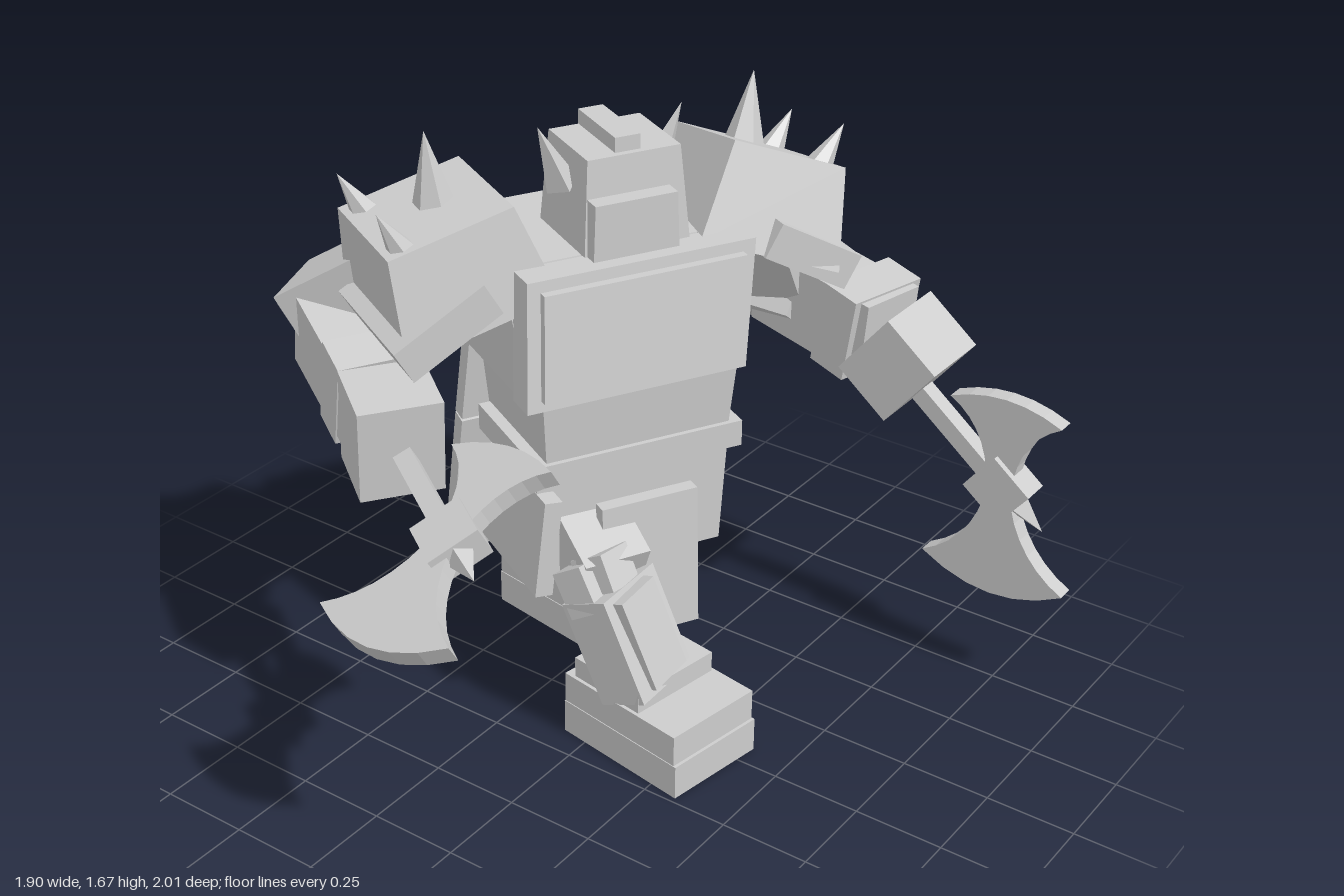
import * as THREE from 'three';

const V = (x, y, z) => new THREE.Vector3(x, y, z);

export function createModel() {
  const root = new THREE.Group();
  const grey = new THREE.MeshStandardMaterial({ color: 0xcccccc });
  grey.name = 'stone grey';
  grey.flatShading = true;

  function add(parent, name, geometry, x = 0, y = 0, z = 0) {
    const m = new THREE.Mesh(geometry, grey);
    m.name = name;
    m.position.set(x, y, z);
    parent.add(m);
    return m;
  }

  // Box whose top (y > 0) is scaled and shifted
  function taper(w, h, d, sx = 1, sz = 1, shiftZ = 0, shiftX = 0) {
    const g = new THREE.BoxGeometry(w, h, d);
    const p = g.attributes.position;
    for (let i = 0; i < p.count; i++) {
      if (p.getY(i) > 0) p.setXYZ(i, p.getX(i) * sx + shiftX, p.getY(i), p.getZ(i) * sz + shiftZ);
    }
    g.computeVertexNormals();
    return g;
  }

  // Box running from point a to point b
  function limb(name, a, b, w, h, up = V(0, 1, 0)) {
    const dir = b.clone().sub(a);
    const len = dir.length();
    dir.normalize();
    const x = up.clone().cross(dir).normalize();
    const y = dir.clone().cross(x);
    const m = add(root, name, new THREE.BoxGeometry(w, h, len));
    m.quaternion.setFromRotationMatrix(new THREE.Matrix4().makeBasis(x, y, dir));
    m.position.copy(a).add(b).multiplyScalar(0.5);
  }

  // Cone from base point to tip
  function spike(parent, name, base, tip, r, sides = 6) {
    const dir = tip.clone().sub(base);
    const m = add(parent, name, new THREE.ConeGeometry(r, dir.length(), sides));
    m.position.copy(base).add(tip).multiplyScalar(0.5);
    m.quaternion.setFromUnitVectors(V(0, 1, 0), dir.normalize());
  }

  // Body, turned toward the side
  const body = new THREE.Group();
  body.name = 'body';
  body.position.set(-0.17, 0, -0.17);
  body.rotation.y = 1.075;
  root.add(body);

  add(body, 'pelvis', taper(0.5, 0.3, 0.34, 1.08, 1), 0, 0.6, 0);
  add(body, 'belt', new THREE.BoxGeometry(0.6, 0.075, 0.39), 0, 0.778, 0);
  add(body, 'abdomen', taper(0.53, 0.22, 0.38, 1.06, 1.1), 0, 0.91, -0.01);
  add(body, 'chest', taper(0.62, 0.35, 0.56, 1.06, 0.74, 0), -0.01, 1.175, -0.1);
  add(body, 'chestPlate', taper(0.62, 0.34, 0.09, 1.03, 1, -0.045, 0.035), -0.035, 1.18, 0.205);
  add(body, 'chestPlateRaised', taper(0.55, 0.28, 0.03, 1.03, 1, -0.037, 0.028), -0.03, 1.18, 0.255);

  // Hip armour
  add(body, 'loinCloth', taper(0.28, 0.41, 0.04, 1, 1, -0.02), 0.01, 0.46, 0.23);
  add(body, 'loinClothBack', taper(0.26, 0.3, 0.04, 1, 1, 0.02), 0, 0.57, -0.21);
  const hip = add(body, 'rightHipPlate', new THREE.BoxGeometry(0.05, 0.28, 0.36), -0.285, 0.585, 0.05);
  hip.rotation.z = -0.12;

  // Two-piece cape
  const cape = add(body, 'capeUpper', taper(0.53, 0.66, 0.05, 0.84, 1), 0, 0.98, -0.395);
  cape.rotation.x = 0.13;
  const capeLow = add(body, 'capeLower', taper(0.55, 0.49, 0.05, 0.95, 1), 0, 0.4, -0.495);
  capeLow.rotation.x = 0.19;

  // Head
  const headGroup = new THREE.Group();
  headGroup.name = 'head';
  body.add(headGroup);
  add(headGroup, 'helmet', taper(0.3, 0.28, 0.28, 0.86, 0.84), 0.02, 1.46, -0.01);
  add(headGroup, 'faceGuard', taper(0.24, 0.16, 0.05, 0.95, 1), 0, 1.42, 0.14);
  add(headGroup, 'crest', new THREE.BoxGeometry(0.07, 0.05, 0.22), 0.01, 1.615, -0.02);
  for (const s of [-1, 1]) {
    spike(headGroup, 'horn', V(s * 0.13, 1.5, 0), V(s * 0.2, 1.67, 0.01), 0.045, 4);
  }

  // Spiked shoulder armour: the left one leans further out and back
  for (const [side, s, roll, pitch] of [['left', 1, 0.38, -0.2], ['right', -1, 0.24, 0]]) {
    const pad = new THREE.Group();
    pad.name = side + 'Shoulder';
    pad.position.set(s * 0.44, 1.34, -0.08);
    pad.rotation.set(pitch, 0, -s * roll);
    body.add(pad);
    add(pad, 'shoulderPlate', taper(0.43, 0.27, 0.44, 0.8, 0.82));
    spike(pad, 'shoulderSpike', V(-s * 0.03, 0.11, -0.02), V(-s * 0.06, 0.32, -0.02), 0.06);
    for (const z of [-0.13, 0.13]) {
      spike(pad, 'shoulderSpike', V(s * 0.11, 0.09, z), V(s * 0.155, 0.245, z * 1.08), 0.048);
    }
    const lower = add(body, side + 'ShoulderLowerPlate', new THREE.BoxGeometry(0.28, 0.1, 0.4), s * 0.515, 1.24, -0.03);
    lower.rotation.z = -s * 0.52;
  }

  // Arms
  limb('leftUpperArm', V(0.0, 1.3, -0.6), V(-0.07, 1.0, -0.84), 0.2, 0.2);
  limb('leftElbow', V(0.04, 0.96, -0.86), V(-0.2, 0.96, -0.86), 0.21, 0.2, V(0, 0.79, -0.61));
  limb('leftForearm', V(-0.08, 0.99, -0.87), V(0.33, 0.95, -0.78), 0.2, 0.23);
  limb('leftCuff', V(0.18, 0.97, -0.82), V(0.3, 0.95, -0.79), 0.25, 0.25);
  limb('leftFist', V(0.33, 0.975, -0.755), V(0.48, 0.855, -0.755), 0.23, 0.23);

  limb('rightUpperArm', V(-0.46, 1.3, 0.12), V(-0.74, 1.14, 0.17), 0.2, 0.2);
  limb('rightElbow', V(-0.64, 1.2, 0.14), V(-0.855, 1.06, 0.22), 0.24, 0.24);
  limb('rightForearm', V(-0.79, 1.07, 0.23), V(-0.44, 0.98, 0.42), 0.2, 0.21);
  limb('rightCuff', V(-0.6, 1.02, 0.32), V(-0.5, 0.99, 0.375), 0.23, 0.25);
  limb('rightFist', V(-0.47, 0.985, 0.4), V(-0.3, 0.965, 0.52), 0.22, 0.26);

  // Double-bladed axes
  const shape = new THREE.Shape();
  shape.moveTo(-0.04, 0.04);
  shape.quadraticCurveTo(-0.06, 0.18, -0.165, 0.235);
  shape.quadraticCurveTo(0, 0.31, 0.165, 0.235);
  shape.quadraticCurveTo(0.06, 0.18, 0.04, 0.04);
  shape.lineTo(0.04, -0.04);
  shape.quadraticCurveTo(0.08, -0.2, 0.215, -0.27);
  shape.quadraticCurveTo(0, -0.4, -0.215, -0.27);
  shape.quadraticCurveTo(-0.08, -0.2, -0.04, -0.04);
  const bladeGeo = new THREE.ExtrudeGeometry(shape, { depth: 0.05, bevelEnabled: false, curveSegments: 6 });
  bladeGeo.translate(0, 0, -0.025);

  function axe(side, grip, center, xAxis, yAxis) {
    const dir = center.clone().sub(grip).normalize();
    const at = (t) => center.clone().addScaledVector(dir, t);
    const zAxis = xAxis.clone().cross(yAxis).normalize();
    const x = yAxis.clone().cross(zAxis).normalize();
    const blade = add(root, side + 'AxeBlade', bladeGeo);
    blade.quaternion.setFromRotationMatrix(new THREE.Matrix4().makeBasis(x, yAxis, zAxis));
    blade.position.copy(center);
    const back = grip.clone().addScaledVector(dir, -0.16);
    limb(side + 'AxeHaft', back, center, 0.05, 0.05, zAxis);
    limb(side + 'AxeSocket', at(-0.07), at(0.07), 0.14, 0.085, zAxis);
    spike(root, side + 'AxePoint', at(0.06), at(0.165), 0.04, 4);
  }
  axe('left', V(0.41, 0.87, -0.75), V(0.725, 0.62, -0.75), V(1, 0, 0), V(0, 1, 0));
  axe('right', V(-0.33, 0.95, 0.49), V(0.0, 0.91, 0.695), V(1, 0.15, 0.05), V(0, 0.47, -0.883).normalize());

  // Feet, both turned the same way
  for (const [side, x, z, cuffLength, cuffZ] of [['right', 0.155, 0.05, 0.24, -0.06], ['left', -0.39, -0.355, 0.38, 0]]) {
    const foot = new THREE.Group();
    foot.name = side + 'Foot';
    foot.position.set(x, 0, z);
    foot.rotation.y = 1.405;
    root.add(foot);
    add(foot, 'sole', new THREE.BoxGeometry(0.305, 0.1, 0.42), 0, 0.05, 0);
    add(foot, 'boot', new THREE.BoxGeometry(0.3, 0.09, 0.41), 0, 0.145, -0.004);
    add(foot, 'ankleCuff', new THREE.BoxGeometry(0.28, 0.06, cuffLength), 0, 0.22, cuffZ);
  }

  // Legs: right steps forward, left knee is lowered
  limb('rightThigh', V(-0.22, 0.6, -0.04), V(0.02, 0.48, 0.08), 0.19, 0.19);
  limb('rightShin', V(0.02, 0.48, 0.1), V(0.14, 0.2, 0.085), 0.22, 0.15, V(1, 0, 0));
  limb('rightShinGuard', V(0.08, 0.49, 0.11), V(0.17, 0.24, 0.08), 0.14, 0.1, V(1, 0, 0));
  limb('rightKneePlate', V(-0.04, 0.54, 0.1), V(0.03, 0.43, 0.11), 0.2, 0.1, V(1, 0.3, 0));
  limb('rightKneePoint', V(-0.01, 0.57, 0.1), V(0.04, 0.48, 0.11), 0.11, 0.11, V(1, 0.3, 0));
  limb('leftThigh', V(-0.14, 0.66, -0.37), V(-0.17, 0.24, -0.33), 0.2, 0.19, V(1, 0, 0));
  limb('leftThighGuard', V(-0.1, 0.6, -0.37), V(-0.12, 0.26, -0.33), 0.15, 0.1, V(1, 0, 0));
  limb('leftShin', V(-0.16, 0.23, -0.31), V(-0.4, 0.26, -0.36), 0.18, 0.12);
  limb('leftKneePlate', V(-0.09, 0.24, -0.31), V(-0.19, 0.16, -0.32), 0.2, 0.07);

  return root;
}
